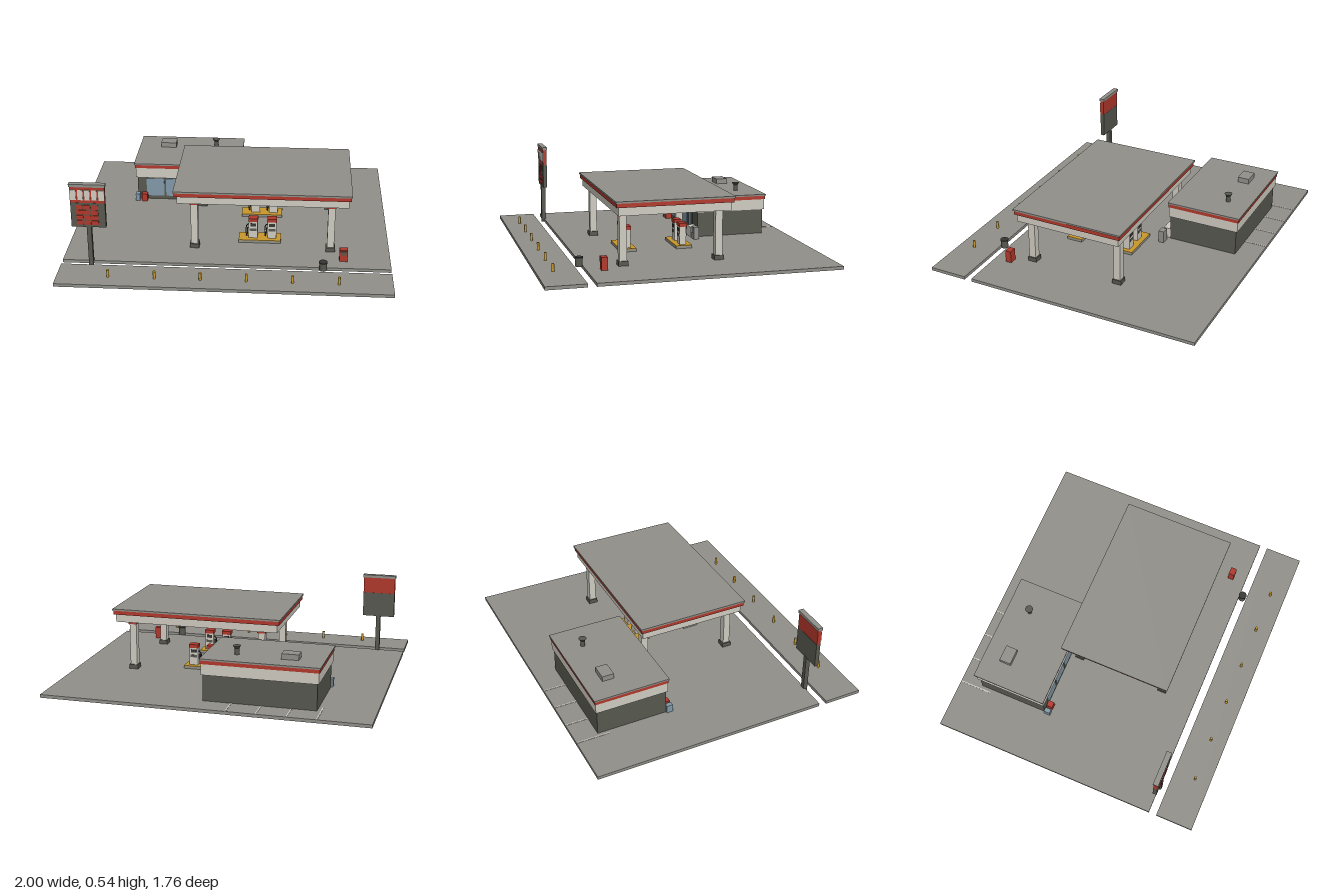
import * as THREE from 'three';

const mat = (name, color) => {
  const m = new THREE.MeshStandardMaterial({ color });
  m.name = name;
  return m;
};

export function createModel() {
  const concrete = mat('concrete', 0x91908a);
  const dark = mat('dark grey', 0x57584f);
  const black = mat('charcoal', 0x363734);
  const red = mat('red', 0xb2382b);
  const cream = mat('cream', 0xd0ccc2);
  const glass = mat('glass', 0x8299a8);
  const yellow = mat('yellow', 0xc9992c);

  const model = new THREE.Group();
  model.name = 'fillingStation';
  const group = (name, parent = model) => {
    const g = new THREE.Group();
    g.name = name;
    parent.add(g);
    return g;
  };
  // Box given by its extents on each axis
  const box = (parent, name, material, x0, x1, y0, y1, z0, z1) => {
    const m = new THREE.Mesh(new THREE.BoxGeometry(x1 - x0, y1 - y0, z1 - z0), material);
    m.position.set((x0 + x1) / 2, (y0 + y1) / 2, (z0 + z1) / 2);
    m.name = name;
    parent.add(m);
    return m;
  };
  // Upright cylinder from y0 to y1
  const cyl = (parent, name, material, x, z, y0, y1, rBottom, rTop = rBottom) => {
    const m = new THREE.Mesh(new THREE.CylinderGeometry(rTop, rBottom, y1 - y0, 16), material);
    m.position.set(x, (y0 + y1) / 2, z);
    m.name = name;
    parent.add(m);
    return m;
  };

  // Ground: forecourt, pavement strip, parking lines
  const ground = group('ground');
  box(ground, 'forecourt', concrete, -1, 1, 0, 0.02, -0.88, 0.59);
  box(ground, 'pavement', concrete, -1, 1, 0, 0.02, 0.64, 0.88);
  for (const x of [-0.685, -0.51, -0.33, -0.15])
    box(ground, 'parkingLine', cream, x - 0.004, x + 0.004, 0.02, 0.022, -0.88, -0.67);

  // Shop: walls, stepped fascia, roof
  const shop = group('shop');
  box(shop, 'walls', dark, -0.66, 0.025, 0.02, 0.185, -0.735, -0.288);
  box(shop, 'fascia', cream, -0.67, 0.033, 0.182, 0.25, -0.745, -0.28);
  box(shop, 'redBand', red, -0.675, 0.037, 0.25, 0.273, -0.75, -0.277);
  box(shop, 'roof', concrete, -0.68, 0.04, 0.273, 0.283, -0.755, -0.273);
  for (const [x0, x1] of [[-0.6, -0.48], [-0.468, -0.35], [-0.338, -0.22]])
    box(shop, 'window', glass, x0, x1, 0.045, 0.172, -0.288, -0.284);
  box(shop, 'doorFrame', black, -0.17, -0.09, 0.02, 0.176, -0.288, -0.285);
  box(shop, 'door', glass, -0.16, -0.1, 0.04, 0.168, -0.285, -0.282);
  box(shop, 'roofUnit', concrete, -0.53, -0.425, 0.283, 0.317, -0.64, -0.565);
  cyl(shop, 'ventStem', dark, -0.15, -0.607, 0.283, 0.322, 0.014);
  cyl(shop, 'ventCap', dark, -0.15, -0.607, 0.32, 0.337, 0.013, 0.025);

  // Machines along the shop front
  box(shop, 'blueMachine', glass, -0.672, -0.643, 0.02, 0.07, -0.285, -0.246);
  box(shop, 'redMachine', red, -0.63, -0.592, 0.02, 0.07, -0.285, -0.246);
  box(shop, 'iceChest', cream, -0.065, 0.02, 0.02, 0.085, -0.288, -0.24);
  box(shop, 'airMachine', concrete, 0.05, 0.1, 0.02, 0.1, -0.275, -0.24);
  box(shop, 'airMachinePanel', glass, 0.058, 0.092, 0.06, 0.09, -0.24, -0.237);

  // Canopy on four columns
  const canopy = group('canopy');
  box(canopy, 'fascia', cream, -0.315, 0.737, 0.333, 0.384, -0.275, 0.407);
  box(canopy, 'redBand', red, -0.33, 0.75, 0.383, 0.409, -0.288, 0.42);
  box(canopy, 'roof', concrete, -0.336, 0.756, 0.409, 0.42, -0.294, 0.426);
  for (const x of [-0.21, 0.635])
    for (const z of [-0.225, 0.362]) {
      const c = group('column', canopy);
      const tier = (name, m, r, y0, y1) => box(c, name, m, x - r, x + r, y0, y1, z - r, z + r);
      tier('columnBase', dark, 0.029, 0.02, 0.048);
      tier('columnShaft', cream, 0.022, 0.048, 0.335);
      tier('columnCollar', red, 0.027, 0.317, 0.333);
    }
  for (const x of [-0.06, 0.09, 0.39])
    for (const z of [-0.11, 0.28])
      box(canopy, 'lamp', cream, x - 0.037, x + 0.037, 0.325, 0.333, z - 0.037, z + 0.037);

  // Two islands with two pumps each
  for (const z of [-0.108, 0.25]) {
    const island = group('pumpIsland');
    box(island, 'islandKerb', concrete, 0.06, 0.325, 0.02, 0.035, z - 0.052, z + 0.052);
    box(island, 'islandTop', yellow, 0.06, 0.325, 0.035, 0.039, z - 0.052, z + 0.052);
    for (const x of [0.15, 0.268]) {
      const pump = group('pump', island);
      box(pump, 'pumpBody', cream, x - 0.028, x + 0.028, 0.038, 0.152, z - 0.021, z + 0.021);
      box(pump, 'pumpHead', red, x - 0.03, x + 0.03, 0.152, 0.175, z - 0.024, z + 0.024);
      for (const s of [-1, 1]) {
        const plate = (name, m, w, y0, y1) => {
          const p = box(pump, name, m, x - w, x + w, y0, y1, z - 0.0015, z + 0.0015);
          p.position.z = z + s * 0.0225;
        };
        plate('pumpScreen', black, 0.018, 0.122, 0.142);
        plate('pumpKeypad', dark, 0.022, 0.09, 0.106);
      }
      // Hose and nozzle hang beside the body
      const hose = new THREE.CatmullRomCurve3([
        [-0.028, 0.13, 0], [-0.042, 0.115, 0], [-0.044, 0.06, 0.004],
        [-0.04, 0.05, 0.014], [-0.035, 0.085, 0.015],
      ].map(([a, y, b]) => new THREE.Vector3(x + a, y, z + b)));
      const tube = new THREE.Mesh(new THREE.TubeGeometry(hose, 16, 0.0035, 6), black);
      tube.name = 'hose';
      pump.add(tube);
      box(pump, 'nozzle', black, x - 0.038, x - 0.028, 0.075, 0.105, z + 0.005, z + 0.018);
    }
  }

  // Roadside price sign
  const sign = group('roadSign');
  box(sign, 'signPole', dark, -0.836, -0.808, 0, 0.265, 0.578, 0.606);
  box(sign, 'priceBoard', dark, -0.927, -0.718, 0.258, 0.418, 0.579, 0.605);
  for (let i = 0; i < 3; i++)
    for (let j = 0; j < 4; j++) {
      const x = -0.893 + i * 0.046, y = 0.274 + j * 0.034;
      box(sign, 'priceCell', red, x, x + 0.04, y, y + 0.028, 0.605, 0.608);
    }
  box(sign, 'headerBox', red, -0.927, -0.718, 0.418, 0.522, 0.58, 0.604);
  for (let i = 0; i < 5; i++) {
    const w = 0.0418, x = -0.927 + i * w;
    box(sign, 'headerPanel', cream, x + (i ? 0.005 : 0), x + w - (i < 4 ? 0.005 : 0), 0.437, 0.503, 0.604, 0.608);
  }
  box(sign, 'signCap', concrete, -0.932, -0.713, 0.522, 0.54, 0.575, 0.609);

  // Bollards, litter bin and paper box
  const extras = group('streetFurniture');
  for (const x of [-0.69, -0.413, -0.14, 0.133, 0.407, 0.68])
    cyl(extras, 'bollard', yellow, x, 0.78, 0.02, 0.068, 0.008);
  cyl(extras, 'litterBin', dark, 0.587, 0.612, 0.018, 0.066, 0.023);
  cyl(extras, 'litterBinLid', black, 0.587, 0.612, 0.066, 0.074, 0.026);
  box(extras, 'paperBox', red, 0.688, 0.738, 0.02, 0.098, 0.47, 0.508);
  box(extras, 'paperBoxWindow', dark, 0.696, 0.73, 0.066, 0.09, 0.508, 0.511);

  return model;
}
